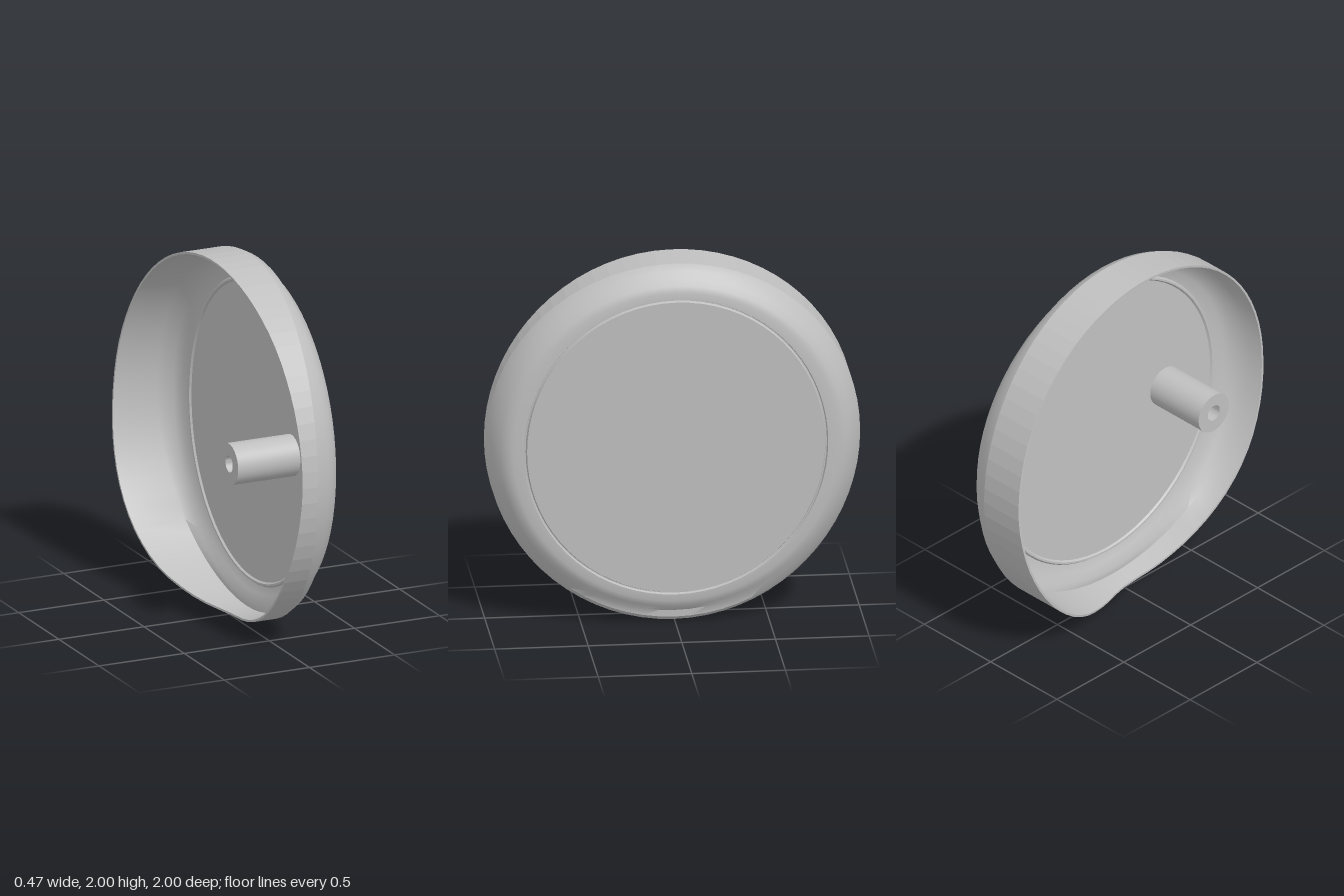
import * as THREE from 'three';
import { toCreasedNormals } from 'three/addons/utils/BufferGeometryUtils.js';

const SEGMENTS = 72;

// Back edge of the wall (x), every 15 degrees from +z up and over
const RIM = [-0.04, -0.042, -0.05, -0.062, -0.08, -0.097, -0.11, -0.125,
  -0.14, -0.157, -0.175, -0.195, -0.212, -0.23, -0.238, -0.225,
  -0.18, -0.09, 0, -0.01, -0.035, -0.055, -0.06, -0.05];
const rimCurve = new THREE.CatmullRomCurve3(
  RIM.map((x) => new THREE.Vector3(x, 0, 0)), true, 'catmullrom', 0.5);

const rimX = (a) => rimCurve.getPoint(a / (Math.PI * 2)).x;
const edgeX = (a) => 0.05 + 0.07 * Math.sin(a) ** 2; // wall meets shoulder
const faceX = (a, r) => 0.215 + 0.016 * r * Math.sin(a); // slightly tilted front
const grooveR = (a) => 0.8 + 0.022 * Math.sin(a) ** 2;

// Sweeps a profile of [x, radius] points, which may change with the angle, around the x axis
function sweep(profile, crease) {
  const positions = [], index = [];
  const n = profile(0).length;
  for (let i = 0; i < SEGMENTS; i++) {
    const a = (i / SEGMENTS) * Math.PI * 2;
    for (const [x, r] of profile(a)) positions.push(x, 1 + r * Math.sin(a), r * Math.cos(a));
    for (let j = 0; j < n - 1; j++) {
      const p = i * n + j, q = ((i + 1) % SEGMENTS) * n + j;
      index.push(p, p + 1, q, p + 1, q + 1, q);
    }
  }
  const g = new THREE.BufferGeometry();
  g.setAttribute('position', new THREE.Float32BufferAttribute(positions, 3));
  g.setIndex(index);
  return toCreasedNormals(g, crease);
}

export function createModel() {
  const group = new THREE.Group();
  const grey = new THREE.MeshStandardMaterial({ color: 0xbfbfbf });
  grey.name = 'grey';
  const add = (name, geometry) => {
    const mesh = new THREE.Mesh(geometry, grey);
    mesh.name = name;
    group.add(mesh);
    return mesh;
  };

  // Faceted outer wall with its thin back lip
  add('outerWall', sweep((a) => [
    [rimX(a), 0.988], [rimX(a), 1], [edgeX(a), 1],
  ], 0.02));

  // Rounded shoulder running in to the groove
  add('shoulder', sweep((a) => {
    const e = edgeX(a), f = (r) => faceX(a, r), g = grooveR(a);
    return [
      [e, 1], [e + 0.42 * (f(1) - e), 0.975], [f(0.94) - 0.045, 0.937],
      [f(0.9) - 0.014, 0.905], [f(0.87) - 0.003, 0.87], [f(g) - 0.001, g + 0.012],
    ];
  }, 0.7));

  // Narrow groove around the front face
  add('faceGroove', sweep((a) => {
    const g = grooveR(a), f = faceX(a, g);
    return [[f - 0.001, g + 0.012], [f - 0.016, g + 0.007], [f - 0.016, g + 0.002], [f, g - 0.004]];
  }, 0.4));

  // Flat front face
  add('frontFace', sweep((a) => {
    const g = grooveR(a) - 0.004;
    return [[faceX(a, g), g], [faceX(a, 0), 0]];
  }, 0.5));

  // Hollow back: floor, low ring, fillet and inner wall
  add('hollowBack', sweep((a) => {
    const g = grooveR(a), f = (r) => faceX(a, r) - 0.065;
    return [
      [f(0), 0], [f(g), g - 0.012], [f(g) - 0.01, g - 0.004], [f(g) - 0.01, g + 0.006],
      [f(g), g + 0.014], [f(0.88) - 0.012, 0.88], [f(0.92) - 0.04, 0.925],
      [edgeX(a) - 0.02, 0.965], [rimX(a), 0.988],
    ];
  }, 0.8));

  // Hollow stem on the back
  const stemProfile = [[0.113, 0], [0.113, 0.385], [0.045, 0.385], [0.045, 0.06], [0, 0.06]]
    .map(([r, y]) => new THREE.Vector2(r, y));
  const stem = add('stem', toCreasedNormals(new THREE.LatheGeometry(stemProfile, 40), 0.6));
  stem.rotation.z = Math.PI / 2;
  stem.position.set(0.17, 1.005, 0.455);

  return group;
}
